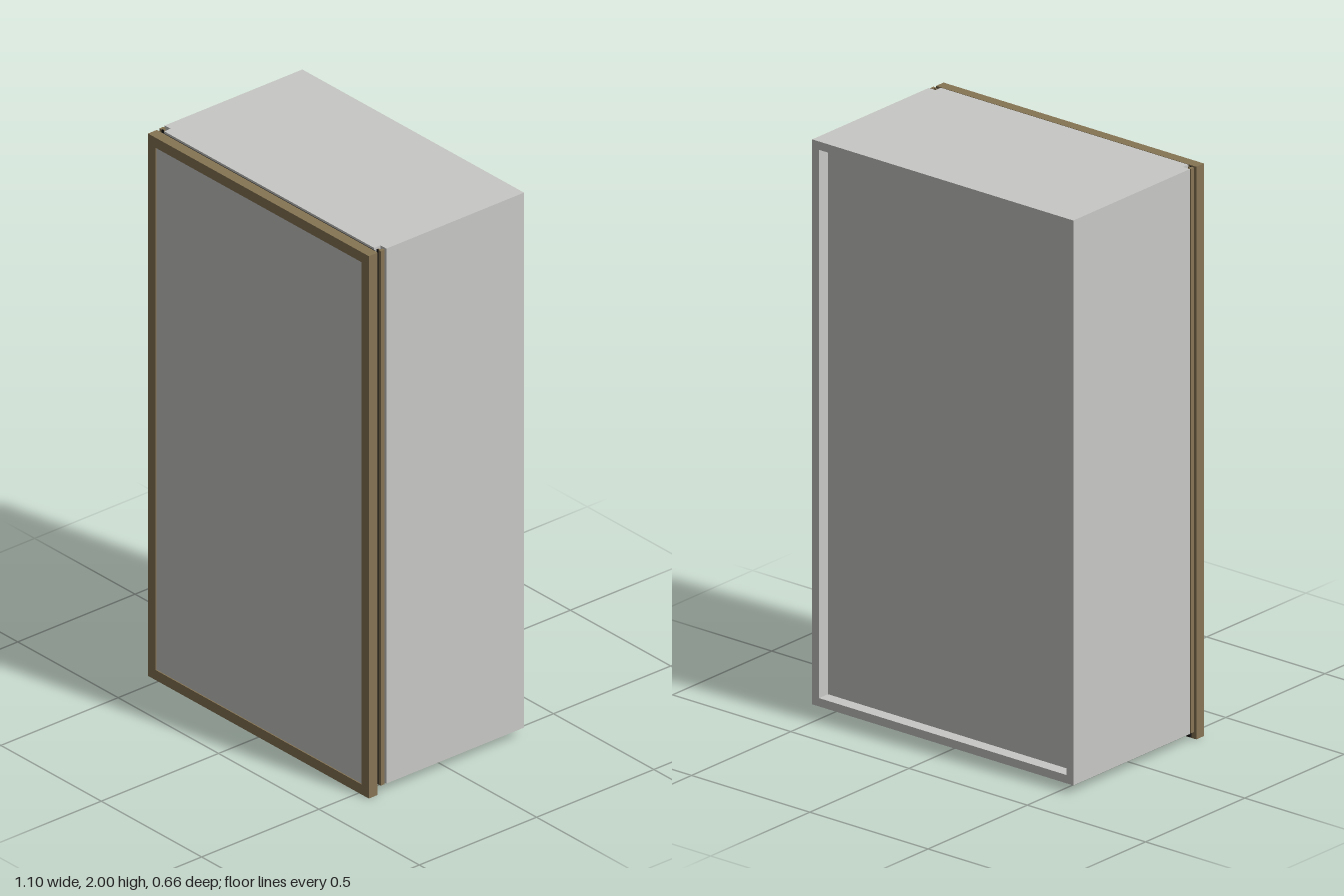
import * as THREE from 'three';

export function createModel() {
  const model = new THREE.Group();
  const mat = (name, color) => {
    const m = new THREE.MeshStandardMaterial({ color });
    m.name = name;
    return m;
  };
  const grey = mat('light grey board', 0xc8c8c6);
  const brown = mat('bronze brown', 0x877555);
  const black = mat('black seal', 0x151515);

  // Box given by its minimum and maximum corners
  const box = (parent, name, material, [x0, y0, z0], [x1, y1, z1]) => {
    const mesh = new THREE.Mesh(new THREE.BoxGeometry(x1 - x0, y1 - y0, z1 - z0), material);
    mesh.position.set((x0 + x1) / 2, (y0 + y1) / 2, (z0 + z1) / 2);
    mesh.name = name;
    parent.add(mesh);
  };
  const group = (name) => {
    const g = new THREE.Group();
    g.name = name;
    model.add(g);
    return g;
  };
  // Rectangular ring extruded forward from z0 to z1
  const ring = (parent, name, material, halfW, y0, y1, width, z0, z1) => {
    const rect = (target, w, a, b) =>
      target.moveTo(-w, a).lineTo(w, a).lineTo(w, b).lineTo(-w, b).closePath();
    const shape = rect(new THREE.Shape(), halfW, y0, y1);
    shape.holes.push(rect(new THREE.Path(), halfW - width, y0 + width, y1 - width));
    const geo = new THREE.ExtrudeGeometry(shape, { depth: z1 - z0, bevelEnabled: false });
    const mesh = new THREE.Mesh(geo, material);
    mesh.position.z = z0;
    mesh.name = name;
    parent.add(mesh);
  };

  const W = 0.552, BOTTOM = 0.03, TOP = 2, BACK = -0.33, FRONT = 0.284;
  const T = 0.029, NOTCH = 0.257, INNER = 0.527;

  // Carcass: side boards stop short at the front to leave the corner notches
  const carcass = group('carcass');
  for (const s of [-1, 1]) {
    const xs = [s * (W - T), s * W].sort((a, b) => a - b);
    box(carcass, s > 0 ? 'leftSide' : 'rightSide', grey, [xs[0], BOTTOM, BACK], [xs[1], TOP, NOTCH]);
  }
  box(carcass, 'topBoard', grey, [-W + T, TOP - T, BACK], [W - T, TOP, FRONT]);
  box(carcass, 'bottomBoard', grey, [-W + T, BOTTOM, BACK], [W - T, BOTTOM + T, FRONT]);
  box(carcass, 'backPanel', grey, [-W + T, BOTTOM + T, BACK + 0.045], [W - T, TOP - T, BACK + 0.06]);

  // Stepped edge trims standing in the front corner notches
  const trims = group('cornerTrims');
  for (const s of [-1, 1]) {
    const strip = (name, material, a, b, z0, z1) => {
      const xs = [s * a, s * b].sort((p, q) => p - q);
      box(trims, name, material, [xs[0], BOTTOM, z0], [xs[1], TOP - 0.002, z1]);
    };
    strip('trimOuterLeg', brown, 0.541, 0.551, 0.263, 0.28);
    strip('trimInnerLeg', brown, INNER + 0.004, 0.541, 0.272, 0.277);
    strip('trimSeal', black, INNER + 0.004, 0.541, 0.277, 0.28);
  }

  // Framed door
  const door = group('door');
  ring(door, 'doorFrame', brown, 0.55, 0, 1.997, 0.037, 0.292, 0.33);
  ring(door, 'doorSeal', black, 0.53, 0.004, 1.993, 0.03, 0.285, 0.292);
  box(door, 'doorPanel', grey, [-0.513, 0.037, 0.3], [0.513, 1.96, 0.326]);

  return model;
}
